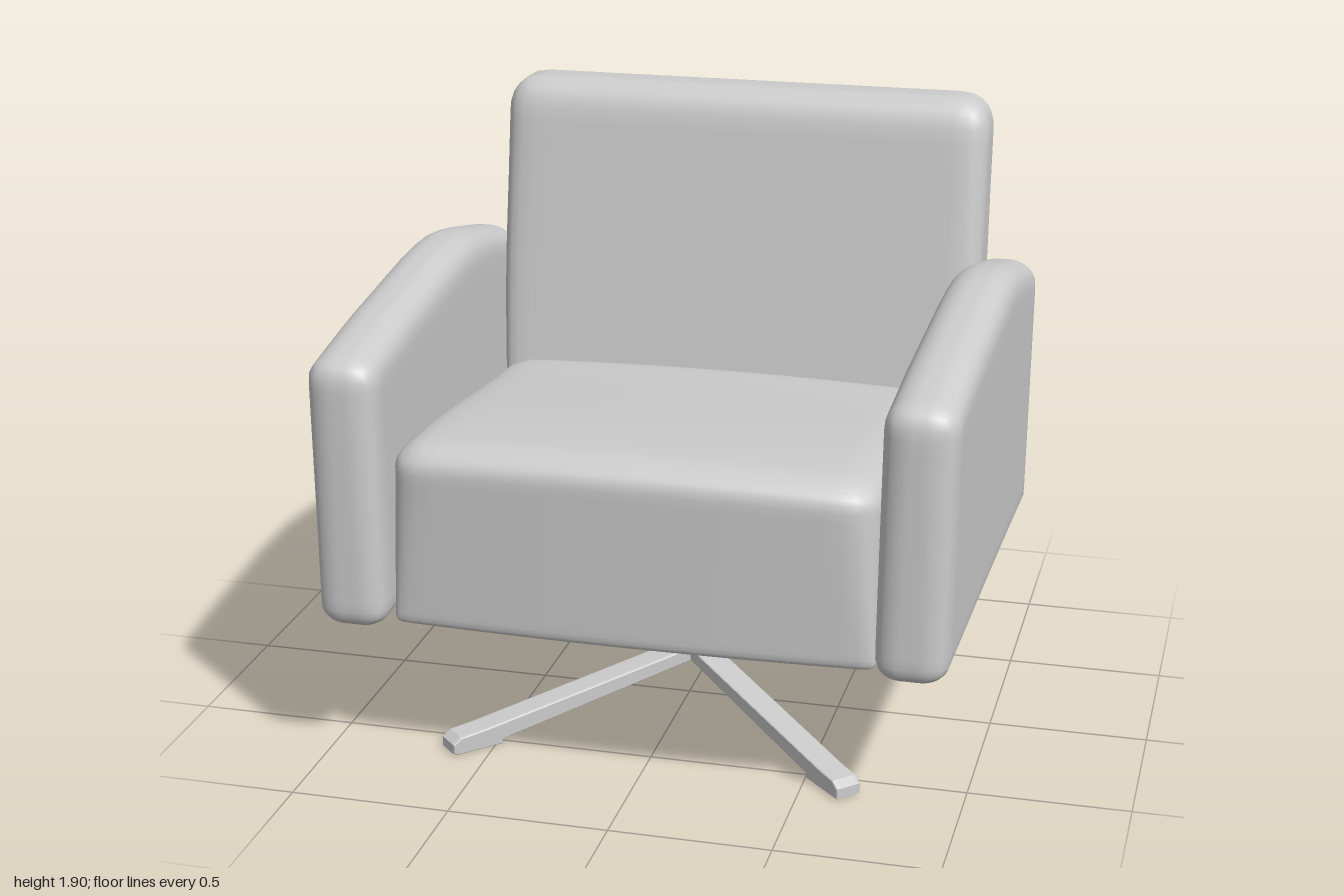
import * as THREE from 'three';
import { mergeVertices } from 'three/addons/utils/BufferGeometryUtils.js';

const material = new THREE.MeshStandardMaterial({ color: 0xcccccc });
const { lerp, clamp, smoothstep } = THREE.MathUtils;

// Padded box between min and max: elliptical edge radii, scaled by `lower`
// towards the bottom, then reshaped by a warp rule.
function cushion(name, min, max, radii, lower, warp) {
  const size = max.map((m, i) => m - min[i]);
  const mid = max.map((m, i) => (m + min[i]) / 2);
  const geo = new THREE.BoxGeometry(2, 2, 2, 24, 24, 24);
  geo.deleteAttribute('uv');
  geo.deleteAttribute('normal');
  const pos = geo.attributes.position;
  const v = new THREE.Vector3();
  for (let i = 0; i < pos.count; i++) {
    // crowd the grid towards the edges, where the padding curves
    const t = [pos.getX(i), pos.getY(i), pos.getZ(i)].map((c) => Math.sin((c * Math.PI) / 2));
    const k = lerp(lower, 1, (t[1] + 1) / 2);
    const core = [], dir = new THREE.Vector3();
    t.forEach((c, a) => {
      const p = (c * size[a]) / 2;
      const limit = size[a] / 2 - radii[a] * k;
      core[a] = clamp(p, -limit, limit);
      dir.setComponent(a, (p - core[a]) / (radii[a] * k));
    });
    dir.normalize();
    core.forEach((c, a) => v.setComponent(a, mid[a] + c + dir.getComponent(a) * radii[a] * k));
    warp(v);
    pos.setXYZ(i, v.x, v.y, v.z);
  }
  const smooth = mergeVertices(geo, 1e-5);
  smooth.computeVertexNormals();
  const mesh = new THREE.Mesh(smooth, material);
  mesh.name = name;
  return mesh;
}

// Height of the armrest top along its depth
const armLine = [[-0.74, 1.35], [-0.6, 1.38], [-0.38, 1.43], [-0.22, 1.45], [-0.05, 1.44], [0.45, 1.385], [0.83, 1.325]];
function armTop(z) {
  for (let i = 1; i < armLine.length; i++) {
    const [z0, y0] = armLine[i - 1], [z1, y1] = armLine[i];
    if (z <= z1) return lerp(y0, y1, (z - z0) / (z1 - z0));
  }
  return armLine[armLine.length - 1][1];
}

function createArm(side) {
  return cushion(side > 0 ? 'leftArm' : 'rightArm',
    [-0.11, 0.48, -0.735], [0.11, 1.48, 0.825], [0.095, 0.09, 0.07], 0.85, (v) => {
      v.y = 0.48 + (v.y - 0.48) * (armTop(v.z) - 0.48);
      v.x += side * (0.88 - 0.02 * v.z + 0.012 * (v.y - 0.9));
    });
}

function createSeat() {
  return cushion('seat', [-0.75, 0.48, -0.46], [0.75, 1.06, 0.77], [0.12, 0.09, 0.13], 0.3, (v) => {
    const up = (v.y - 0.48) / 0.58;
    const across = 1 - (v.x / 0.75) ** 2;
    // top slopes down to the rear and is slightly crowned
    v.y += up * (0.02 * across - 0.075 * (1 - smoothstep(v.z, -0.46, 0.6)));
    // front face bulges, rear leans with the backrest
    v.z += smoothstep(v.z, 0.3, 0.77) * (0.025 * across - 0.02 * (1 - up));
    v.z += 0.05 * (1 - up) * (1 - smoothstep(v.z, -0.46, 0));
  });
}

function createBackrest() {
  return cushion('backrest', [-0.815, 0.5, -0.14], [0.815, 1.9, 0.14], [0.1, 0.11, 0.1], 0.45, (v) => {
    const h = (v.y - 0.5) / 1.4;
    const wide = smoothstep(h, 0, 0.6);
    v.x = v.x * lerp(0.935, 1, wide) + 0.025 * wide;
    // thinner and further back towards the top
    v.z = v.z * lerp(1.04, 0.84, h) - lerp(0.535, 0.716, h);
  });
}

// Four sloping legs with flat feet around a central post
function createBase() {
  const base = new THREE.Group();
  base.name = 'swivelBase';
  base.position.set(0.012, 0, -0.025);

  const post = new THREE.Mesh(new THREE.CylinderGeometry(0.038, 0.038, 0.36, 24), material);
  post.name = 'post';
  post.position.y = 0.32;
  base.add(post);

  const side = [[0, 0.175], [0.8, 0.06], [0.88, 0.052], [0.905, 0.035], [0.905, 0.008],
    [0.895, 0.004], [0.74, 0.004], [0.735, 0.02], [0, 0.137]];
  const profile = new THREE.Shape(side.map(([x, y]) => new THREE.Vector2(x, y)));
  const legGeo = new THREE.ExtrudeGeometry(profile, {
    depth: 0.062, bevelEnabled: true, bevelSize: 0.004, bevelThickness: 0.012, bevelSegments: 2,
  });
  legGeo.translate(0, 0, -0.031);
  for (let i = 0; i < 4; i++) {
    const leg = new THREE.Mesh(legGeo, material);
    leg.name = 'leg' + (i + 1);
    leg.rotation.y = Math.PI / 4 + (i * Math.PI) / 2;
    base.add(leg);
  }
  return base;
}

export function createModel() {
  const chair = new THREE.Group();
  chair.name = 'swivelArmchair';
  chair.add(createSeat(), createBackrest(), createArm(1), createArm(-1), createBase());
  return chair;
}
